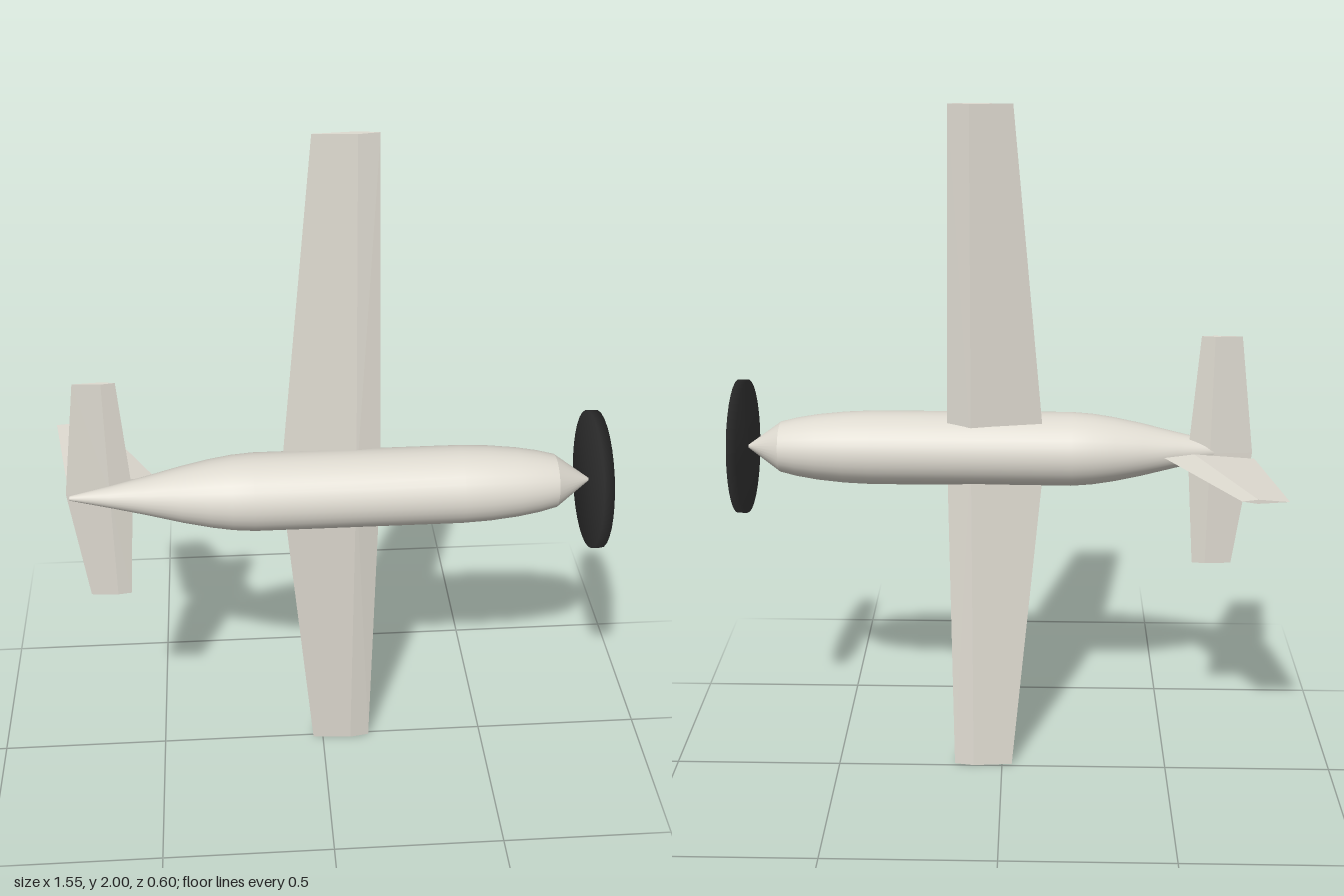
import * as THREE from 'three';
import { ConvexGeometry } from 'three/addons/geometries/ConvexGeometry.js';
import { mergeVertices } from 'three/addons/utils/BufferGeometryUtils.js';

const AXIS_Y = 1, AXIS_Z = 0.104; // fuselage centreline, running along x

export function createModel() {
  const group = new THREE.Group();
  const paint = new THREE.MeshStandardMaterial({ color: 0xdedad0 });
  paint.name = 'palePaint';
  const dark = new THREE.MeshStandardMaterial({ color: 0x363636 });
  dark.name = 'darkGrey';

  const add = (name, geometry, material) => {
    const mesh = new THREE.Mesh(geometry, material);
    mesh.name = name;
    group.add(mesh);
    return mesh;
  };

  // Body of revolution along x from [x, radius] pairs, slightly narrower across y
  const revolve = (name, profile) => {
    const geo = new THREE.LatheGeometry(profile.map(([x, r]) => new THREE.Vector2(r, x)), 32);
    geo.rotateZ(-Math.PI / 2);
    geo.scale(1, 0.9, 1);
    geo.translate(0, AXIS_Y, AXIS_Z);
    add(name, geo, paint);
  };

  revolve('fuselage', [
    [-0.712, 0], [-0.71, 0.007], [-0.6, 0.033], [-0.5, 0.058], [-0.4, 0.085], [-0.32, 0.103],
    [-0.26, 0.113], [-0.2, 0.118], [0.38, 0.118], [0.46, 0.114], [0.54, 0.105],
    [0.6, 0.094], [0.648, 0.081],
  ]);
  revolve('noseCone', [[0.648, 0.081], [0.75, 0]]);

  // Diamond section: trailing edge, ridge and leading edge in x, plus half thickness
  const section = ([trail, ridge, lead, half], place) =>
    [[trail, 0], [ridge, half], [lead, 0], [ridge, -half]].map(([x, t]) => place(x, t));
  const surface = (name, root, rootPlace, tip, tipPlace) =>
    add(name, new ConvexGeometry([...section(root, rootPlace), ...section(tip, tipPlace)]), paint);

  // Wings and tailplanes, mirrored about the centreline
  for (const [side, s] of [['left', 1], ['right', -1]]) {
    const at = (span, z) => (x, t) => new THREE.Vector3(x, AXIS_Y + s * span, z + t);
    surface(side + 'Wing',
      [-0.123, 0.09, 0.16, 0.018], at(0, 0.055),
      [-0.03, 0.087, 0.145, 0.01], at(1, 0.01));
    surface(side + 'Tailplane',
      [-0.722, -0.6, -0.537, 0.01], at(0, 0.083),
      [-0.677, -0.6, -0.562, 0.006], at(0.348, 0.083));
  }

  // Tail fin, standing out toward the back
  const finAt = z => (x, t) => new THREE.Vector3(x, AXIS_Y + t, z);
  surface('tailFin',
    [-0.722, -0.55, -0.465, 0.012], finAt(0.032),
    [-0.775, -0.69, -0.648, 0.006], finAt(-0.3));

  // Propeller disc with soft, shared normals
  let disc = new THREE.CylinderGeometry(0.195, 0.195, 0.028, 32);
  disc.deleteAttribute('uv');
  disc.deleteAttribute('normal');
  disc = mergeVertices(disc);
  disc.computeVertexNormals();
  disc.rotateZ(-Math.PI / 2);
  disc.translate(0.758, AXIS_Y, AXIS_Z);
  add('propellerDisc', disc, dark);

  return group;
}
